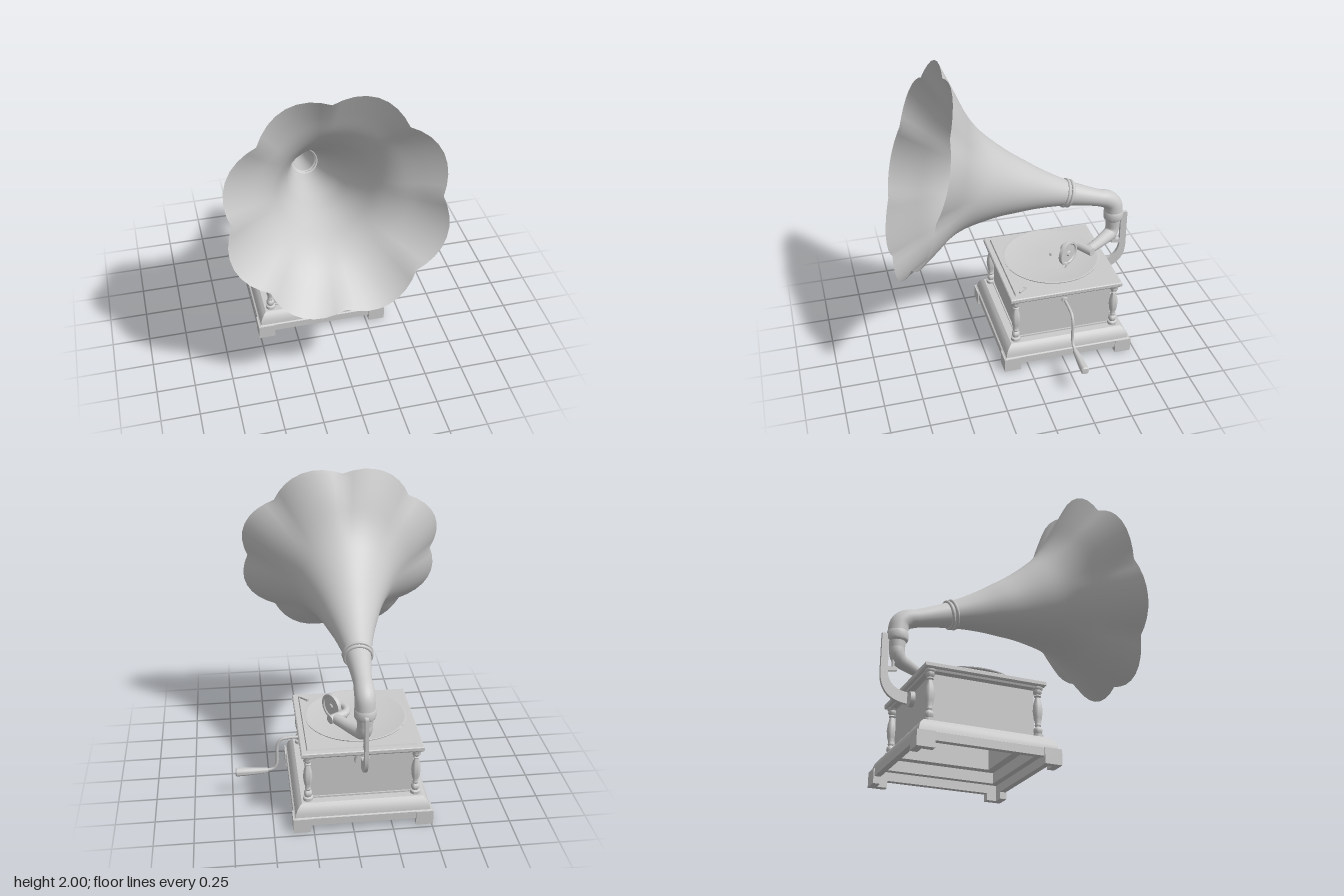
import * as THREE from 'three';
import { mergeVertices, toCreasedNormals } from 'three/addons/utils/BufferGeometryUtils.js';

const CX = -0.065, CZ = -0.275; // centre of the cabinet
const mat = new THREE.MeshStandardMaterial({ color: 0xcccccc });
const thin = new THREE.MeshStandardMaterial({ color: 0xcccccc, side: THREE.DoubleSide });
const V = (x, y, z) => new THREE.Vector3(x, y, z);
const pts = (list) => list.map(([a, b]) => new THREE.Vector2(a, b));

export function createModel() {
  const model = new THREE.Group();
  model.name = 'gramophone';

  function add(name, geo, x = 0, y = 0, z = 0, material = mat) {
    const mesh = new THREE.Mesh(geo, material);
    mesh.name = name;
    mesh.position.set(x, y, z);
    model.add(mesh);
    return mesh;
  }
  const box = (name, w, h, d, x, y, z) => add(name, new THREE.BoxGeometry(w, h, d), x, y, z);
  const turned = (profile, n = 24, crease = 0.6) =>
    toCreasedNormals(new THREE.LatheGeometry(pts(profile), n), crease);
  // Square moulding: profile of [half width, height] carried round four mitred sides
  function square(profile) {
    const g = new THREE.LatheGeometry(pts(profile.map(([h, y]) => [h * Math.SQRT2, y])), 4);
    g.rotateY(Math.PI / 4);
    return toCreasedNormals(g, 0.5);
  }
  // Tube whose radius runs through the given values along its path
  function taperedTube(points, radii, steps = 32, sides = 20) {
    const path = new THREE.CatmullRomCurve3(points);
    const g = new THREE.TubeGeometry(path, steps, 1, sides);
    const p = g.attributes.position, v = V(0, 0, 0);
    for (let i = 0; i <= steps; i++) {
      const t = i / steps, c = path.getPointAt(t);
      const k = t * (radii.length - 1), a = Math.min(Math.floor(k), radii.length - 2);
      const r = THREE.MathUtils.lerp(radii[a], radii[a + 1], k - a);
      for (let j = 0; j <= sides; j++) {
        const n = i * (sides + 1) + j;
        v.fromBufferAttribute(p, n).sub(c).multiplyScalar(r).add(c);
        p.setXYZ(n, v.x, v.y, v.z);
      }
    }
    return g;
  }
  // Point a mesh's y axis along a direction
  const aim = (mesh, dir) => mesh.quaternion.setFromUnitVectors(V(0, 1, 0), dir.normalize());

  // Hollow base moulding
  add('base', square([[0.31, 0.17], [0.36, 0.17], [0.36, 0.1], [0.4, 0.1], [0.4, 0.045], [0.438, 0.045],
    [0.438, 0.095], [0.428, 0.1], [0.425, 0.125], [0.415, 0.15], [0.4, 0.168], [0.385, 0.18], [0.31, 0.18]]),
  CX, 0, CZ, thin);
  // Cabinet walls, open underneath
  add('cabinet', square([[0.305, 0.5], [0.305, 0.17], [0.335, 0.17], [0.335, 0.19], [0.325, 0.19],
    [0.325, 0.485], [0.335, 0.49], [0.335, 0.5]]), CX, 0, CZ, thin);
  add('lid', square([[0, 0.49], [0.36, 0.49], [0.365, 0.502], [0.378, 0.502], [0.384, 0.51], [0.384, 0.53],
    [0.378, 0.535], [0.347, 0.535], [0.342, 0.545], [0, 0.545]]), CX, 0, CZ);
  box('motor', 0.16, 0.09, 0.12, CX, 0.45, CZ);

  // Corner feet and turned columns
  const column = turned([[0.032, 0.18], [0.032, 0.2], [0.02, 0.206], [0.027, 0.222], [0.026, 0.238], [0.015, 0.25],
    [0.02, 0.262], [0.016, 0.27], [0.025, 0.305], [0.03, 0.35], [0.026, 0.39], [0.015, 0.435], [0.022, 0.443],
    [0.016, 0.452], [0.027, 0.467], [0.025, 0.482], [0.032, 0.488], [0.032, 0.5]], 20, 0.9);
  for (const sx of [-1, 1]) for (const sz of [-1, 1]) {
    box('foot', 0.11, 0.096, 0.045, CX + sx * 0.39, 0.048, CZ + sz * 0.4225);
    box('foot', 0.045, 0.096, 0.065, CX + sx * 0.4225, 0.048, CZ + sz * 0.3675);
    add('column', column, CX + sx * 0.342, 0, CZ + sz * 0.342);
  }

  // Turntable with record and spindle
  add('turntable', turned([[0, 0.55], [0.27, 0.55], [0.28, 0.556], [0.28, 0.568], [0.328, 0.57],
    [0.33, 0.576], [0.322, 0.578], [0.31, 0.574], [0.1, 0.574], [0, 0.574]], 64), CX, 0, CZ);
  add('spindle', new THREE.CylinderGeometry(0.008, 0.008, 0.055, 12), CX, 0.565, CZ);
  const brake = box('brakeLever', 0.012, 0.012, 0.075, 0.245, 0.553, 0.01);
  brake.rotation.y = 0.75;
  add('brakePivot', new THREE.CylinderGeometry(0.01, 0.01, 0.02, 12), 0.225, 0.553, -0.01);

  // Crank and its handle
  add('crank', taperedTube([V(0.24, 0.43, CZ), V(0.37, 0.43, CZ), V(0.42, 0.42, CZ), V(0.445, 0.38, CZ),
    V(0.449, 0.3, CZ), V(0.453, 0.24, CZ), V(0.475, 0.203, CZ), V(0.53, 0.19, CZ)], [0.01, 0.01], 40, 12));
  add('crankHandle', turned([[0, 0], [0.016, 0.002], [0.018, 0.02], [0.024, 0.1], [0.028, 0.17], [0.028, 0.208],
    [0.022, 0.216], [0, 0.217]]), 0.51, 0.19, CZ).rotation.z = -Math.PI / 2;
  add('crankSocket', new THREE.CylinderGeometry(0.022, 0.022, 0.02, 20), 0.268, 0.43, CZ).rotation.z = Math.PI / 2;

  // Horn: flared bell with eight scallops at the rim
  const horn = new THREE.Group();
  horn.name = 'horn';
  horn.position.set(CX, 1.055, -0.375);
  horn.rotation.x = 1.269;
  model.add(horn);
  const flare = new THREE.SplineCurve(pts([[0.084, 0], [0.107, 0.11], [0.137, 0.225], [0.174, 0.34], [0.213, 0.457],
    [0.264, 0.577], [0.328, 0.702], [0.41, 0.811], [0.52, 0.92], [0.637, 1.042]]));
  let bell = new THREE.LatheGeometry(flare.getPoints(36), 64);
  const p = bell.attributes.position;
  for (let i = 0; i < p.count; i++) {
    const x = p.getX(i), z = p.getZ(i);
    const fade = THREE.MathUtils.smoothstep(p.getY(i), 0.68, 1.1) / 0.943;
    const k = 1 + 0.1 * fade * Math.abs(Math.sin(4 * Math.atan2(x, z)));
    p.setX(i, x * k);
    p.setZ(i, z * k);
  }
  bell.deleteAttribute('uv');
  bell.deleteAttribute('normal');
  bell = mergeVertices(bell, 1e-5);
  bell.computeVertexNormals();
  const bellMesh = new THREE.Mesh(bell, thin);
  bellMesh.name = 'hornBell';
  horn.add(bellMesh);
  for (const [y, r] of [[-0.012, 0.085], [0.016, 0.089]]) {
    const ring = new THREE.Mesh(new THREE.TorusGeometry(r, 0.011, 12, 40), mat);
    ring.name = 'hornCollar';
    ring.rotation.x = Math.PI / 2;
    ring.position.y = y;
    horn.add(ring);
  }

  // Neck elbow below the horn, and its sleeve
  add('hornNeck', taperedTube([V(CX, 1.055, -0.375), V(CX, 1.02, -0.488), V(CX, 0.985, -0.6), V(CX, 0.966, -0.66),
    V(CX, 0.93, -0.703), V(CX, 0.87, -0.715), V(CX, 0.82, -0.715)],
  [0.083, 0.074, 0.064, 0.058, 0.063, 0.063, 0.062], 40, 28), 0, 0, 0, thin);
  add('sleeve', turned([[0, 0.755], [0.048, 0.755], [0.052, 0.8], [0.064, 0.81], [0.067, 0.82], [0.067, 0.862],
    [0.062, 0.87]], 28), CX, 0, -0.715);

  // Tone arm
  add('toneArm', taperedTube([V(CX, 0.77, -0.715), V(CX, 0.725, -0.713), V(CX + 0.012, 0.695, -0.695),
    V(CX + 0.05, 0.686, -0.64), V(0.04, 0.683, -0.565), V(0.085, 0.682, -0.5)],
  [0.048, 0.048, 0.045, 0.04, 0.035, 0.033], 36));
  const joint = add('armJoint', new THREE.CylinderGeometry(0.028, 0.028, 0.12, 20), 0.075, 0.682, -0.475);
  aim(joint, V(0.1, 0, -0.062));
  add('gooseneck', taperedTube([V(0.05, 0.682, -0.46), V(0.015, 0.682, -0.425), V(0.01, 0.683, -0.37),
    V(0.035, 0.685, -0.335), V(0.085, 0.685, -0.342)], [0.026, 0.025, 0.024], 30, 16));

  // Sound box and needle
  const soundBox = add('soundBox', turned([[0, -0.02], [0.06, -0.02], [0.068, -0.013], [0.083, -0.013],
    [0.085, 0], [0.083, 0.011], [0.07, 0.011], [0.064, 0.004], [0.02, 0.004], [0.014, 0.012], [0, 0.012]], 36),
  0.097, 0.685, -0.345);
  aim(soundBox, V(0.84, 0, -0.54));
  add('needle', taperedTube([V(0.105, 0.62, -0.345), V(0.108, 0.6, -0.335), V(0.11, 0.577, -0.32)],
    [0.007, 0.003], 6, 8));

  // Rear bracket carrying the arm
  const s = new THREE.Shape();
  s.moveTo(0.64, 0.405);
  s.bezierCurveTo(0.75, 0.41, 0.815, 0.47, 0.815, 0.59);
  s.lineTo(0.815, 0.845);
  s.lineTo(0.77, 0.845);
  s.lineTo(0.77, 0.63);
  s.lineTo(0.71, 0.63);
  s.lineTo(0.71, 0.61);
  s.lineTo(0.77, 0.6);
  s.bezierCurveTo(0.765, 0.52, 0.71, 0.48, 0.64, 0.48);
  const bracket = new THREE.ExtrudeGeometry(s, { depth: 0.022, bevelEnabled: false, curveSegments: 16 });
  bracket.translate(0, 0, -0.011);
  bracket.rotateY(Math.PI / 2);
  add('bracket', toCreasedNormals(bracket, 0.5), CX, 0, 0);
  add('bracketPad', new THREE.CylinderGeometry(0.045, 0.05, 0.03, 24), CX, 0.442, -0.612).rotation.x = -Math.PI / 2;
  add('pivotPost', new THREE.CylinderGeometry(0.01, 0.01, 0.15, 12), CX, 0.695, -0.735);
  return model;
}
